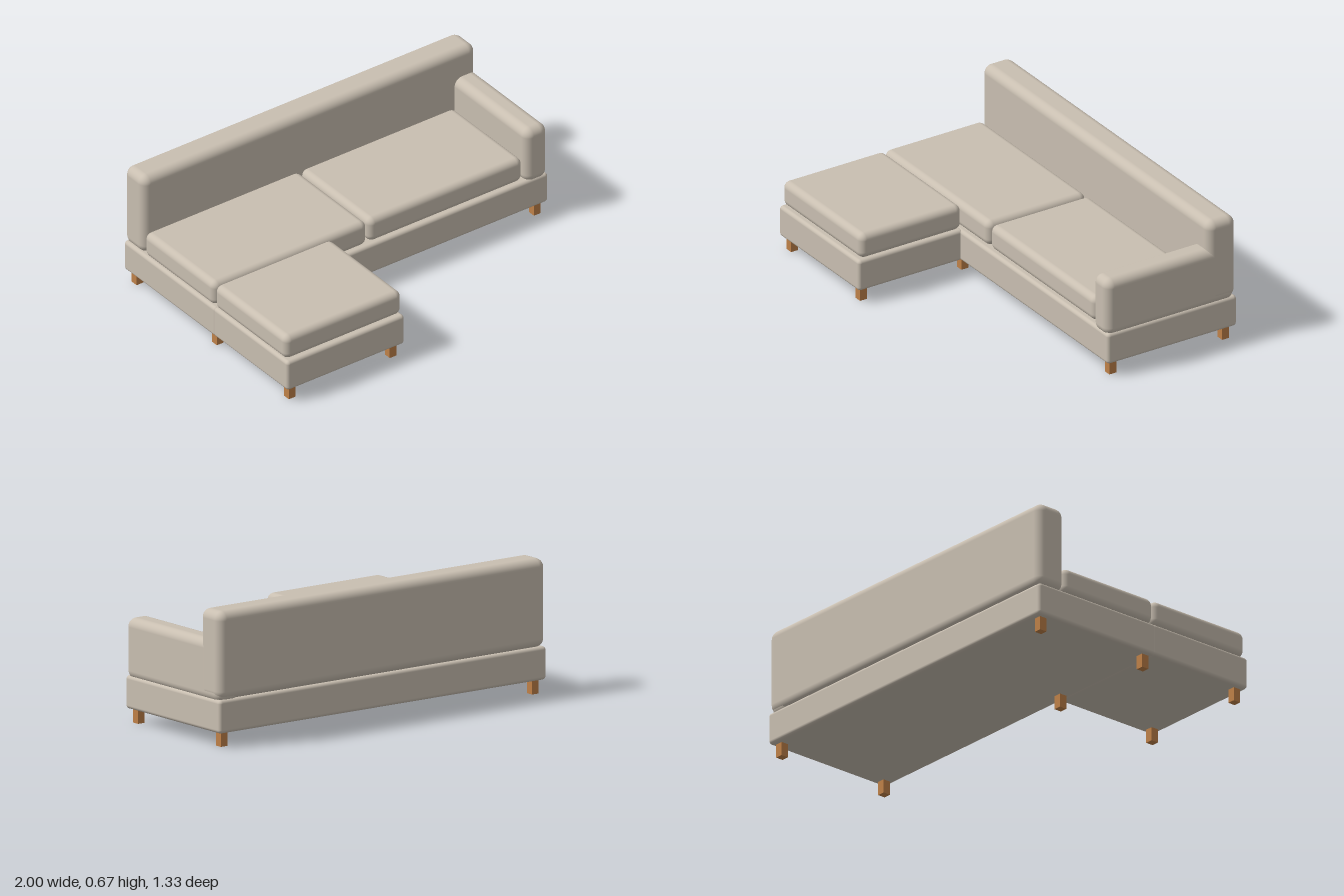
import * as THREE from 'three';
import { RoundedBoxGeometry } from 'three/addons/geometries/RoundedBoxGeometry.js';

export function createModel() {
  const sofa = new THREE.Group();
  sofa.name = 'cornerSofa';

  const fabric = new THREE.MeshStandardMaterial({ color: 0xc9bfb1 });
  fabric.name = 'beige fabric';
  const wood = new THREE.MeshStandardMaterial({ color: 0xbf8148 });
  wood.name = 'light wood';

  // Rounded upholstered block given by its extents along each axis
  function block(name, [x0, x1], [y0, y1], [z0, z1], radius) {
    const geometry = new RoundedBoxGeometry(x1 - x0, y1 - y0, z1 - z0, 5, radius);
    const mesh = new THREE.Mesh(geometry, fabric);
    mesh.name = name;
    mesh.position.set((x0 + x1) / 2, (y0 + y1) / 2, (z0 + z1) / 2);
    sofa.add(mesh);
  }

  // Bases
  block('mainBase', [-1, 1], [0.07, 0.235], [-0.667, 0.08], 0.018);
  block('chaiseBase', [-1, -0.295], [0.07, 0.235], [0.06, 0.667], 0.018);

  // Seat cushions
  block('rightSeatCushion', [-0.998, -0.073], [0.235, 0.367], [-0.505, 0.066], 0.035);
  block('leftSeatCushion', [-0.064, 0.86], [0.235, 0.367], [-0.505, 0.066], 0.035);
  block('chaiseCushion', [-0.998, -0.299], [0.235, 0.367], [0.066, 0.652], 0.035);

  // Backrest and single armrest
  block('backrest', [-1, 1], [0.23, 0.67], [-0.667, -0.502], 0.045);
  block('armrest', [0.866, 0.999], [0.215, 0.52], [-0.66, 0.084], 0.045);

  // Square legs: four main corners, two chaise front corners, one inner corner
  const legHeight = 0.075;
  const legGeometry = new THREE.BoxGeometry(0.04, legHeight, 0.04);
  const legSpots = [
    [-0.952, -0.618], [0.952, -0.618],
    [-0.952, 0.034], [-0.347, 0.034], [0.952, 0.034],
    [-0.952, 0.62], [-0.347, 0.62],
  ];
  for (const [x, z] of legSpots) {
    const leg = new THREE.Mesh(legGeometry, wood);
    leg.name = 'leg';
    leg.position.set(x, legHeight / 2, z);
    sofa.add(leg);
  }

  return sofa;
}
